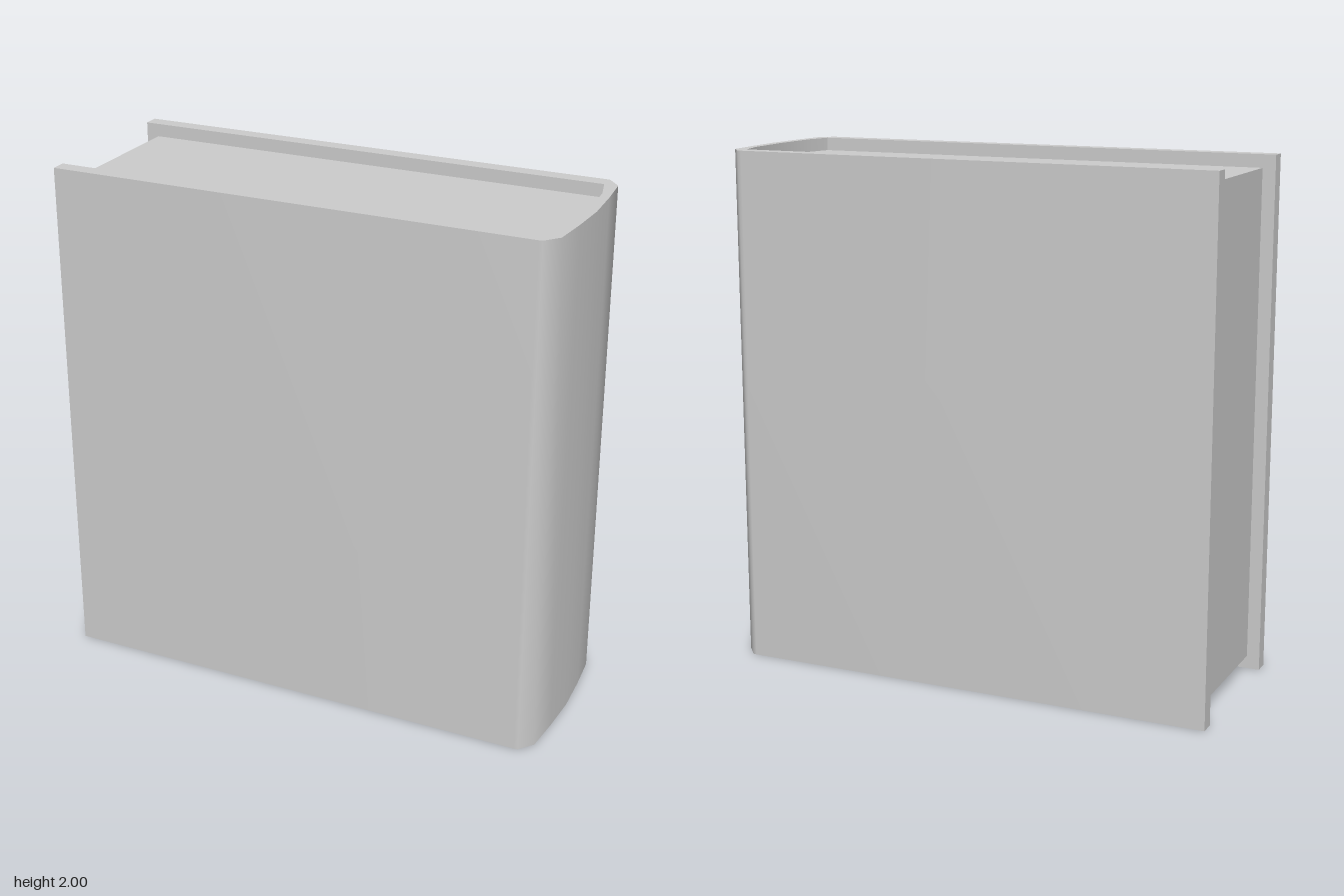
import * as THREE from 'three';
import { toCreasedNormals } from 'three/addons/utils/BufferGeometryUtils.js';

const HEIGHT = 2;
const PAGE_INSET = 0.05;
const FORE_EDGE = -0.98;
const PAGE_EDGE = -0.93;

// Half profiles as [x, z], from the fore edge round to the middle of the spine
const outerHalf = [[FORE_EDGE, 0.365], [0.895, 0.365], [0.91, 0.363], [0.956, 0.308], [0.969, 0.16], [0.977, 0]];
const innerHalf = [[0.905, 0.305], [0.932, 0.2], [0.942, 0]];

// Complete a half profile with its mirror image across z = 0
const mirrored = half => [...half, ...half.slice(0, -1).reverse().map(([x, z]) => [x, -z])];

// Extrude an outline upward from y = 0
function upright(points, height) {
  const shape = new THREE.Shape(points.map(([x, z]) => new THREE.Vector2(x, -z)));
  const geometry = new THREE.ExtrudeGeometry(shape, { depth: height, bevelEnabled: false });
  geometry.rotateX(-Math.PI / 2);
  return toCreasedNormals(geometry, 1.0);
}

export function createModel() {
  const book = new THREE.Group();
  book.name = 'book';
  const material = new THREE.MeshStandardMaterial({ color: 0xcccccc });

  // Hard cover: two boards joined by a gently rounded spine
  const coverInside = mirrored([[FORE_EDGE, 0.305], ...innerHalf]);
  const cover = new THREE.Mesh(upright([...mirrored(outerHalf), ...coverInside.reverse()], HEIGHT), material);
  cover.name = 'cover';
  book.add(cover);

  // Page block, set back from the top, bottom and fore edge of the cover
  const pages = new THREE.Mesh(
    upright(mirrored([[PAGE_EDGE, 0.305], ...innerHalf]), HEIGHT - 2 * PAGE_INSET), material);
  pages.name = 'pages';
  pages.position.y = PAGE_INSET;
  book.add(pages);

  return book;
}
